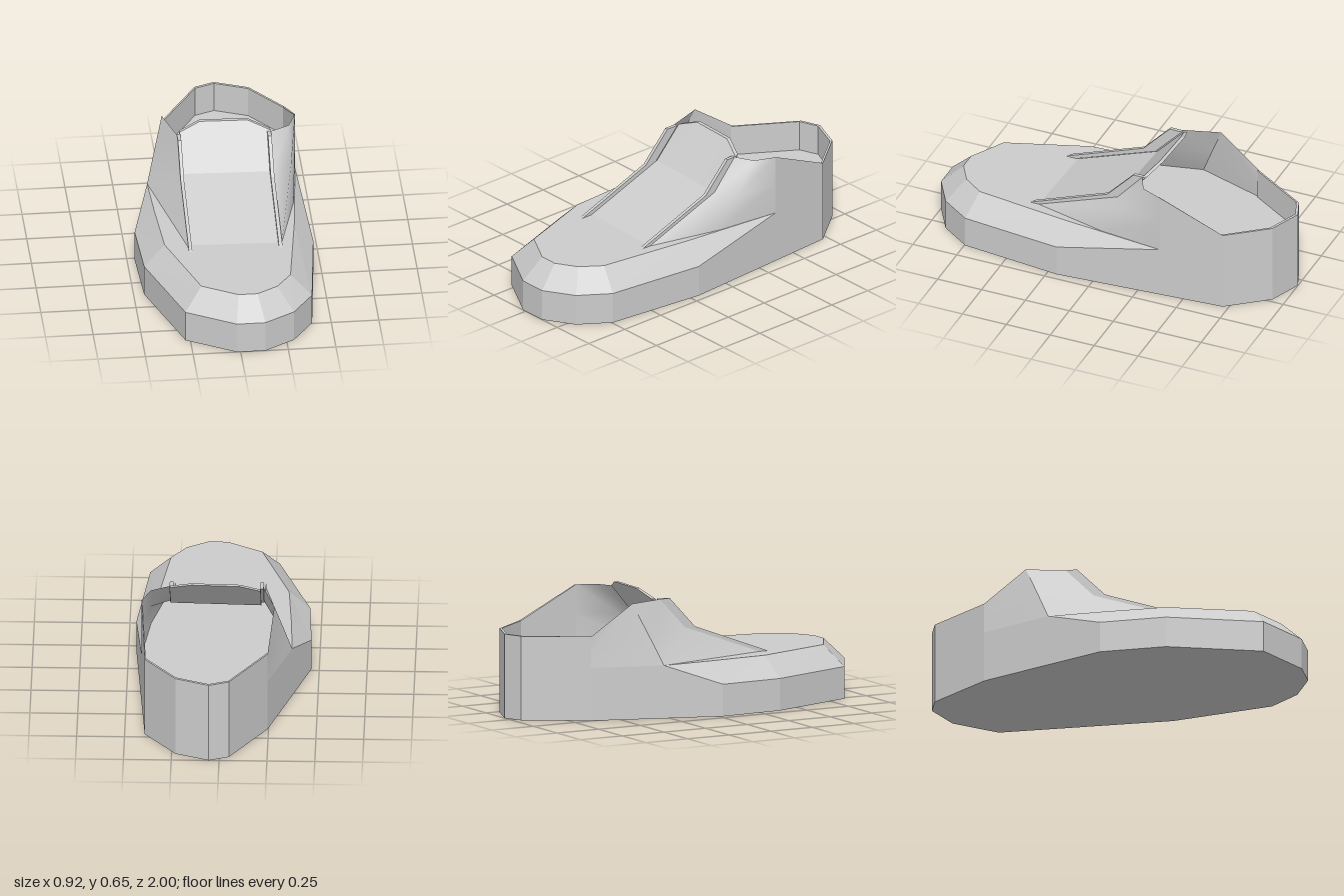
import * as THREE from 'three';

const DECK = 0.28, MID = 0.445, TOP = 0.605;

// Surface through rows of points; wrap joins the last column to the first
function skin(name, rows, { wrap = false, flat = true } = {}) {
  const n = rows[0].length, index = [];
  const pts = rows.flat().map((p) => new THREE.Vector3(...p));
  const tri = (a, b, c) => {
    if (new THREE.Triangle(pts[a], pts[b], pts[c]).getArea() > 1e-6) index.push(a, b, c);
  };
  for (let r = 0; r < rows.length - 1; r++) {
    for (let i = 0; i < (wrap ? n : n - 1); i++) {
      const j = (i + 1) % n;
      const a = r * n + i, b = r * n + j, c = b + n, d = a + n;
      tri(a, b, c);
      tri(a, c, d);
    }
  }
  const geo = new THREE.BufferGeometry().setFromPoints(pts);
  geo.setIndex(index);
  geo.computeVertexNormals();
  const mat = new THREE.MeshStandardMaterial({ color: 0xcccccc, flatShading: flat, side: THREE.DoubleSide });
  const mesh = new THREE.Mesh(geo, mat);
  mesh.name = name;
  return mesh;
}

const fill = (row, p) => row.map(() => p);

// Footprint, anticlockwise from the toe: outer x, z, rim height, deck x, z
const footprint = [
  [-0.02, 1, 0.17, 0, 0.885], [0.13, 1, 0.17, 0.1, 0.885],
  [0.29, 0.905, 0.17, 0.21, 0.82], [0.4, 0.745, 0.17, 0.29, 0.71],
  [0.46, 0.2, 0.17, 0.36, 0.2], [0.42, -0.37, DECK, 0.42, -0.37],
  [0.395, -0.72, DECK, 0.395, -0.72], [0.23, -0.93, DECK, 0.23, -0.93],
  [0.055, -1, DECK, 0.055, -1], [-0.05, -0.96, DECK, -0.05, -0.96],
  [-0.245, -0.65, DECK, -0.245, -0.65], [-0.365, -0.28, DECK, -0.365, -0.28],
  [-0.46, 0.02, 0.17, -0.355, 0], [-0.445, 0.37, 0.17, -0.335, 0.345],
  [-0.275, 0.855, 0.17, -0.185, 0.78],
];

function sole() {
  const bottom = footprint.map(([x, z]) => [x, 0, z]);
  const rim = footprint.map(([x, z, y]) => [x, y, z]);
  const deck = footprint.map(([, , , x, z]) => [x, DECK, z]);
  return skin('sole', [fill(bottom, [0, 0, 0]), bottom, rim, deck, fill(deck, [0, DECK, 0])], { wrap: true });
}

// Thin upright wall around the heel, higher at the ankle
function heelWall() {
  const run = footprint.slice(5, 11);
  const ring = (s, top) => run.map(([x, z], i) =>
    [0.06 + (x - 0.06) * s, top ? (i === 0 ? TOP : MID) : DECK, z * s]);
  return skin('heelWall', [ring(1), ring(1, true), ring(0.985, true), ring(0.985)]);
}

// Sloping strip beside the tongue, four-cornered in section
function rail(name, x0, x1) {
  const level = (y, front, back) => [[x0, y, front], [x1, y, front], [x1, y, back], [x0, y, back]];
  const rows = [level(DECK, 0.43, 0.37), level(MID, -0.01, -0.08), level(TOP, -0.16, -0.23)];
  const cap = fill(rows[2], [(x0 + x1) / 2, TOP, -0.195]);
  return skin(name, [...rows, cap], { wrap: true });
}

function tongue() {
  const xs = [-0.2, -0.09, 0.16, 0.275];
  const tipY = [0.607, 0.65, 0.65, 0.61], tipZ = [-0.24, -0.27, -0.26, -0.215];
  const low = (y, z, d) => xs.map((x) => [x, y, z + 0.04 * x - d]);
  const tip = (d) => xs.map((x, i) => [x, tipY[i], tipZ[i] - d]);
  return skin('tongue', [
    low(DECK, 0.37, 0), low(MID, -0.08, 0), tip(0),
    tip(0.02), low(MID, -0.08, 0.025), low(DECK, 0.37, 0.025),
  ]);
}

export function createModel() {
  const group = new THREE.Group();
  group.name = 'shoe';
  const smooth = { flat: false };
  group.add(sole(), heelWall(), tongue());
  group.add(rail('rightRail', -0.215, -0.197), rail('leftRail', 0.258, 0.277));

  // Padded side panels between the rails and the ankle
  group.add(skin('leftSidePanel', [
    [[0.277, DECK, 0.38], [0.378, DECK, -0.02], [0.42, DECK, -0.37]],
    [[0.277, MID, -0.07], [0.378, MID, -0.14], [0.42, MID, -0.37]],
    [[0.277, TOP, -0.21], [0.375, TOP, -0.26], [0.42, TOP, -0.37]],
  ], smooth));
  const ankle = [[-0.365, DECK, -0.28], [-0.32, MID, -0.35], [-0.275, TOP, -0.42]];
  const lace = [[-0.215, DECK, 0.38], [-0.215, MID, -0.07], [-0.215, TOP, -0.22]];
  group.add(skin('rightSidePanel', ankle.map((p, i) => [p, lace[i]]), smooth));

  // Right ankle panel back to the heel wall
  const heel = [DECK, 0.3625, MID].map((y) => [-0.245, y, -0.65]);
  group.add(skin('rightAnklePanel', heel.map((p, i) => [p, ankle[i]]), smooth));
  return group;
}
